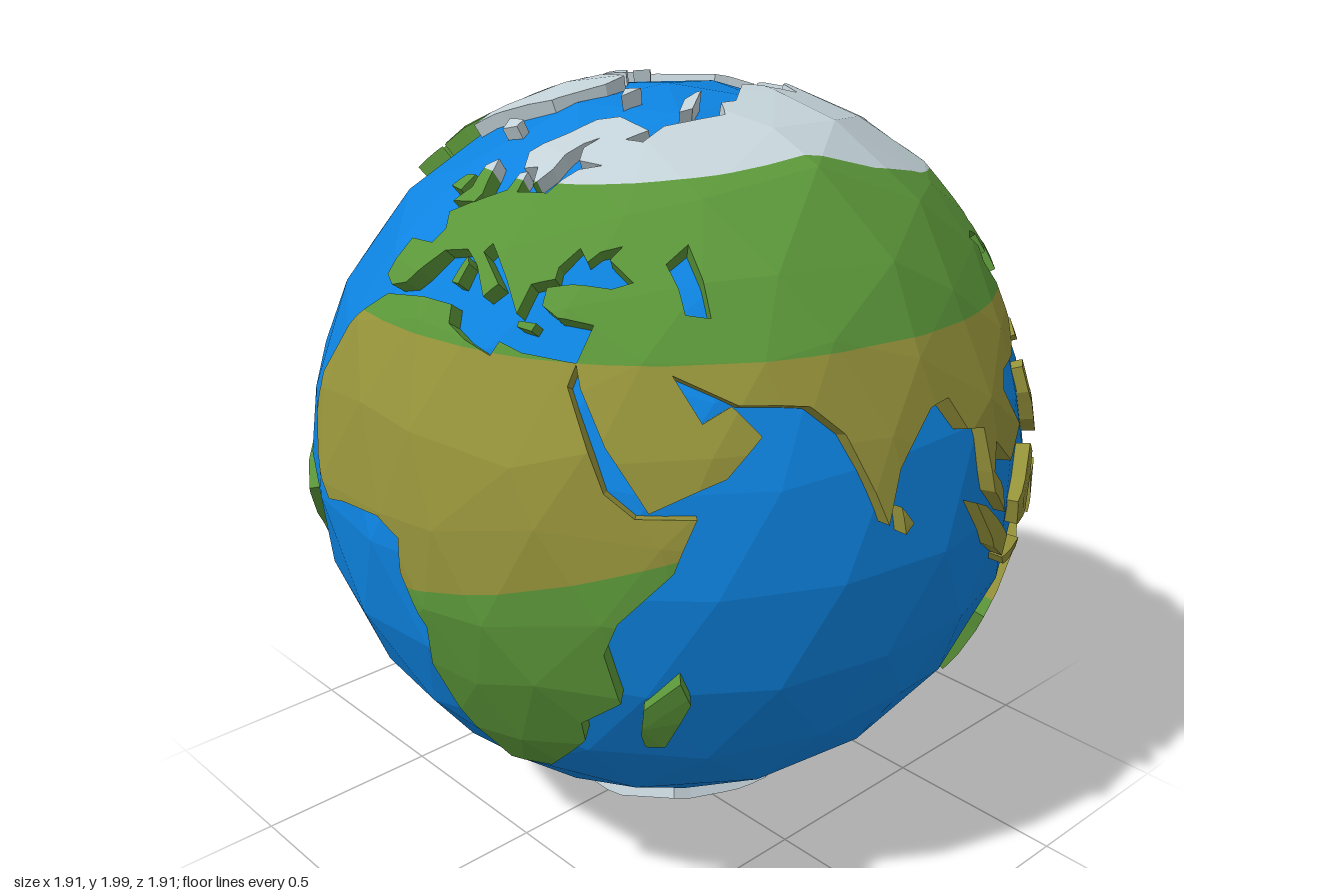
import * as THREE from 'three';

const SEA = 0.94, BED = 0.905, STEP = 0.23;
const paint = (name, color) => Object.assign(new THREE.MeshStandardMaterial({ color }), { name });
const dir = (lon, lat) => new THREE.Vector3().setFromSphericalCoords(
  1, THREE.MathUtils.degToRad(90 - lat), THREE.MathUtils.degToRad(lon));
const hash = (i, j) => { const s = Math.sin(i * 127.1 + j * 311.7) * 43758.5453; return s - Math.floor(s) - 0.5; };

// Piecewise linear lookup: [lon, lat, lon, lat, ...]
function along(t, lon) {
  for (let k = 2; k < t.length; k += 2)
    if (lon <= t[k]) return t[k - 1] + (t[k + 1] - t[k - 1]) * (lon - t[k - 2]) / (t[k] - t[k - 2]);
  return t[t.length - 1];
}

// Climate borders
const snowLine = [-180, 51, -130, 54, -86, 61, -55, 58, 10, 56, 45, 57, 80, 57, 100, 53, 130, 49, 150, 46, 180, 51];
const northTropic = [-180, 23, -40, 23, -20, 31, 70, 31, 180, 29];
const southTropic = [-180, -20, -100, -6, -80, -5, -35, 0, 10, -3, 25, 0, 50, 7, 75, -20, 180, -21];
const border = (table) => (p) => THREE.MathUtils.radToDeg(Math.asin(p.y / p.length()))
  - along(table, THREE.MathUtils.radToDeg(Math.atan2(p.x, p.z)));

// Land height: a plain with a few broad highlands [direction, extra height, spread in radians]
const highlands = [[dir(88, 54), 0.07, 0.36], [dir(0, -90), 0.08, 0.32], [dir(18, 8), 0.014, 0.5]];
const height = (v) => highlands.reduce((h, [d, a, s]) => h + a * Math.exp(-((v.angleTo(d) / s) ** 2)), 0.972);

// Split a convex 3D polygon where field f changes sign
function split(poly, f) {
  const above = [], below = [];
  poly.forEach((a, k) => {
    const b = poly[(k + 1) % poly.length], fa = f(a), fb = f(b);
    (fa >= 0 ? above : below).push(a);
    if ((fa >= 0) !== (fb >= 0)) {
      const m = a.clone().lerp(b, fa / (fa - fb));
      above.push(m); below.push(m);
    }
  });
  return [above, below];
}

const cross2 = (a, b, p) => (b.x - a.x) * (p.y - a.y) - (b.y - a.y) * (p.x - a.x);

// Clip a convex 2D polygon (or segment) to a triangle
function clip(poly, tri) {
  for (let e = 0; e < 3 && poly.length; e++) {
    const a = tri[e], b = tri[(e + 1) % 3], out = [];
    poly.forEach((p, k) => {
      const q = poly[(k + 1) % poly.length], dp = cross2(a, b, p), dq = cross2(a, b, q);
      if (dp >= 0) out.push(p);
      if ((dp >= 0) !== (dq >= 0)) out.push(p.clone().lerp(q, dp / (dp - dq)));
    });
    poly = out;
  }
  return poly;
}

// Raised land plate with faceted top and upright coast; outlines are flat lon, lat lists
function makeLand(name, mats, outlines) {
  const rings = outlines.map((o) => Array.from({ length: o.length / 2 }, (_, k) => dir(o[2 * k], o[2 * k + 1])));
  const c = new THREE.Vector3();
  rings.flat().forEach((v) => c.add(v));
  c.normalize();
  const e = new THREE.Vector3(Math.abs(c.y) > 0.9 ? 1 : 0, Math.abs(c.y) > 0.9 ? 0 : 1, 0).cross(c).normalize();
  const n = c.clone().cross(e);
  // Equal-area map around the land's centre, and back
  const flat = (v) => new THREE.Vector2(v.dot(e), v.dot(n)).multiplyScalar(Math.sqrt(2 / (1 + v.dot(c))));
  const lift = (p) => {
    const r2 = Math.min(p.lengthSq(), 3.9), s = Math.sqrt(1 - r2 / 4);
    return new THREE.Vector3().addScaledVector(e, s * p.x).addScaledVector(n, s * p.y)
      .addScaledVector(c, 1 - r2 / 2).normalize();
  };
  const maps = rings.map((r) => {
    const m = r.map(flat);
    return THREE.ShapeUtils.isClockWise(m) ? m.reverse() : m;
  });

  // Jittered triangle grid that gives the facets
  const box = new THREE.Box2().setFromPoints(maps.flat()).expandByScalar(STEP);
  const node = (i, j) => {
    const p = new THREE.Vector2(
      (i + (j & 1) * 0.5 + hash(i, j) * 0.4) * STEP, (j + hash(j + 9, i) * 0.4) * STEP * 0.866);
    const v = lift(p);
    return Object.assign(p, { top: v.multiplyScalar(height(v) + hash(i + 5, j + 3) * 0.012) });
  };
  const grid = [];
  for (let j = Math.floor(box.min.y / STEP / 0.866) - 1; j * STEP * 0.866 < box.max.y; j++)
    for (let i = Math.floor(box.min.x / STEP) - 1; i * STEP < box.max.x; i++) {
      const a = node(i, j), b = node(i + 1, j), d = node(i, j + 1), f = node(i + 1, j + 1);
      grid.push(...(j & 1 ? [[a, b, f], [a, f, d]] : [[a, b, d], [b, f, d]]));
    }
  const onTop = (p, t) => {
    const area = cross2(t[0], t[1], t[2]), v = new THREE.Vector3();
    t.forEach((q, k) => v.addScaledVector(q.top, cross2(t[(k + 1) % 3], t[(k + 2) % 3], p) / area));
    return v;
  };

  // Sort faces into climate colours
  const faces = { Snow: [], Grass: [], Savanna: [] };
  const add = (key, poly) => {
    for (let k = 2; k < poly.length; k++)
      for (const p of [poly[0], poly[k - 1], poly[k]]) faces[key].push(p.x, p.y, p.z);
  };
  const addFace = (poly) => {
    const [snow, rest] = split(poly, border(snowLine));
    const [north, warm] = split(rest, border(northTropic));
    const [savanna, south] = split(warm, border(southTropic));
    const [grass, ice] = split(south, border([-180, -60, 180, -60]));
    add('Snow', snow); add('Grass', north); add('Savanna', savanna); add('Grass', grass); add('Snow', ice);
  };

  for (const m of maps) {
    for (const ids of THREE.ShapeUtils.triangulateShape(m, [])) {
      const ear = ids.map((k) => m[k]);
      if (cross2(...ear) < 0) ear.reverse();
      for (const t of grid) {
        const piece = clip(ear, t);
        if (piece.length > 2) addFace(piece.map((p) => onTop(p, t)));
      }
    }
    // Coast walls
    m.forEach((a, k) => {
      const b = m[(k + 1) % m.length], d = b.clone().sub(a);
      for (const t of grid) {
        const s = clip([a, b], t).sort((p, q) => p.dot(d) - q.dot(d));
        if (s.length < 2 || s[0].distanceTo(s[s.length - 1]) < 1e-6) continue;
        const p = onTop(s[0], t), q = onTop(s[s.length - 1], t);
        addFace([p.clone().setLength(BED), q.clone().setLength(BED), q, p]);
      }
    });
  }

  const group = new THREE.Group();
  group.name = name;
  for (const key in faces) {
    if (!faces[key].length) continue;
    const g = new THREE.BufferGeometry();
    g.setAttribute('position', new THREE.Float32BufferAttribute(faces[key], 3));
    g.computeVertexNormals();
    const mesh = new THREE.Mesh(g, mats[key]);
    mesh.name = name + key;
    group.add(mesh);
  }
  return group;
}

export function createModel() {
  const model = new THREE.Group(), globe = new THREE.Group();
  model.name = 'lowPolyGlobe';
  globe.name = 'globe';
  globe.position.set(0, 1.055, -0.025);
  model.add(globe);
  const mats = { Snow: paint('snow', 0xc3d2d8), Grass: paint('grass', 0x5b9639), Savanna: paint('savanna', 0x95923a) };
  const land = (name, ...outlines) => globe.add(makeLand(name, mats, outlines));

  // Faceted sea with a vertex at each pole
  const seaShape = new THREE.IcosahedronGeometry(SEA, 3).rotateZ(Math.atan(2 / (1 + Math.sqrt(5))));
  seaShape.computeVertexNormals();
  const sea = new THREE.Mesh(seaShape, paint('ocean', 0x0d83e0));
  sea.name = 'ocean';
  globe.add(sea);

  // Continents
  const europe = [-9, 37, -9, 43, -2, 43.5, -1, 46, -4, 48.5, 2, 51, 8, 54, 8, 57, 10, 57.5, 11, 54, 19, 54.5, 21, 57,
    24, 59, 30, 60, 23, 60.5, 22, 63, 25, 65.5, 21, 64, 18, 61, 17, 58.5, 14, 55.5, 12, 58.5, 8, 58, 5, 61, 12, 66,
    18, 70, 27, 71, 41, 67, 34, 65, 40, 64, 46, 68, 60, 69, 58, 50, 51, 47, 47, 44.5, 49, 41, 41.5, 42, 37, 45, 39, 47,
    35, 46, 33, 44.5, 31, 46.5, 28, 43.5, 28, 41.8, 24, 40.7, 23, 36.5, 19, 41, 13, 45.5, 12, 44, 18, 40, 16, 38,
    12, 42, 8, 44, 3, 43, 0, 39, -2, 37, -6, 36];
  const asia = [60, 69, 68, 69, 72, 73, 80, 73, 90, 75.5, 104, 77.5, 113, 74, 130, 71, 140, 73, 160, 70, 180, 69, 190, 66,
    178, 62, 163, 58, 157, 51, 156, 57, 163, 62, 155, 59, 143, 59, 136, 55, 141, 52, 140, 48, 133, 43, 128, 40, 129, 36,
    126, 35, 126, 38, 122, 39.5, 118, 39, 122, 37, 119, 35, 122, 31, 120, 26, 114, 22, 108, 21.5, 106, 19, 109, 13,
    105, 9, 101, 13, 100, 9, 103, 5, 104, 1.5, 100, 6, 98, 16, 94, 17, 91, 22, 87, 21.5, 80, 15, 77.5, 8, 72, 21, 67, 25,
    57, 26, 48, 30, 52, 24, 56, 26, 60, 22, 55, 17, 45, 13, 39, 21, 35, 28, 34, 31, 36, 36, 30, 36.5, 27, 38,
    27, 40.5, 31, 41.2, 38, 41, 41.5, 42, 49, 41, 50, 37.5, 54, 37, 53, 42, 51, 47, 58, 50];
  land('eurasia', europe, asia);
  land('africa', [-16, 14, -17, 20, -13, 28, -10, 31, -6, 34.5, 3, 36, 10, 36, 11, 33.5, 15, 32, 20, 30.5, 21, 32.5, 25, 31.5,
    34, 31, 33, 28, 37, 20, 39, 15, 43, 12, 51, 12, 48, 5, 41, -2, 39, -7, 41, -15, 35, -20, 35, -24, 32, -28, 27, -34,
    19, -34.5, 17, -29, 14, -22, 12, -15, 13, -8, 9, -1, 9, 4, 5, 6, -4, 5, -8, 4, -13, 9]);
  land('northAmerica', [-168, 66, -156, 71, -130, 70, -115, 68, -95, 69, -85, 69, -87, 64, -94, 61, -93, 57.5, -82, 55,
    -79, 51.5, -78, 58, -77, 62, -70, 61, -66, 58.5, -64, 60, -56, 52, -66, 50, -60, 47, -66, 44, -70, 43, -74, 40,
    -76, 35, -81, 31, -80, 25.5, -83, 29.5, -90, 29.5, -97, 27, -97, 21, -94, 18, -91, 19, -87, 21, -88, 16, -83, 15,
    -83, 10, -77, 8, -80, 7.5, -85, 10, -88, 13, -95, 16, -105, 20, -109, 25, -112.5, 30, -114.5, 31, -110, 23.5,
    -115, 28, -118, 34, -124, 40, -124, 47, -130, 54, -138, 59, -146, 60.5, -153, 58, -164, 54.5, -158, 58.5, -165, 61, -161, 64]);
  land('southAmerica', [-77, 8, -72, 12, -62, 10.5, -51, 4, -50, 0, -44, -2.5, -35, -6, -39, -14, -41, -22, -48, -26,
    -53, -33, -62, -39, -65, -42, -68, -50, -66, -55, -72, -53, -75, -48, -73, -38, -70, -18, -76, -14, -81, -5, -80, 1]);
  land('australia', [114, -22, 122, -18, 130, -12, 136, -12, 136, -16, 140, -17, 142, -11, 146, -19, 153, -26, 150, -37,
    146, -39, 140, -37, 137, -33, 131, -31.5, 124, -33, 116, -35]);
  land('antarctica', [-180, -78, -150, -76, -100, -73, -75, -72, -67, -67, -57, -63, -62, -72, -60, -77, -35, -78, -10, -71,
    20, -69, 50, -66, 90, -66, 130, -66, 160, -70, 170, -78]);

  // Arctic islands
  land('greenland', [-73, 78, -60, 82, -32, 83.5, -18, 80, -22, 72, -40, 65, -44, 60, -52, 65, -54, 70, -60, 76]);
  land('baffinIsland', [-88, 73, -78, 73, -64, 66, -66, 62, -74, 65, -74, 69]);
  land('ellesmereIsland', [-88, 77, -90, 81, -70, 83, -78, 78]);
  land('victoriaIsland', [-117, 70, -115, 73, -105, 73, -102, 69]);
  land('banksIsland', [-124, 72, -122, 75, -110, 76, -115, 74]);
  land('iceland', [-24, 65.5, -16, 66.5, -14, 65, -19, 63.5]);
  land('svalbard', [12, 79.5, 25, 80, 17, 77]);
  land('novayaZemlya', [52, 71.5, 56, 75, 68, 77, 58, 72]);

  // Temperate islands
  land('greatBritain', [-5, 50, -3, 53, -6, 57, -4, 58.7, -2, 57, 1.5, 52.5, 1, 51]);
  land('ireland', [-10, 52, -9, 54.5, -6, 55, -6, 52]);
  land('sardinia', [8, 39, 8.5, 43, 9.7, 42, 9.5, 39]);
  land('crete', [23.5, 35.6, 26.5, 35.6, 26, 34.5, 23.5, 34.8]);
  land('japan', [130, 31, 131, 34.5, 136, 36, 140, 41, 142, 39, 140, 35, 135, 33.5]);
  land('hokkaido', [140, 42, 142, 45.5, 145.5, 43.5, 143, 42]);
  land('sakhalin', [142, 46, 142, 54, 144, 50, 143.5, 46]);
  land('newfoundland', [-59, 48, -56, 51.5, -53, 47]);
  land('tasmania', [144.5, -40.5, 148.5, -40.5, 147, -43.8]);
  land('newZealandNorth', [173, -35, 178.5, -38, 175, -41.5, 174, -39]);
  land('newZealandSouth', [172.5, -40.5, 174, -42, 169, -47, 166.5, -46]);
  land('madagascar', [44, -17, 49, -12, 50.5, -16, 47, -25, 44, -25, 43.5, -22]);

  // Tropical islands
  land('sumatra', [95, 6, 98, 4.5, 106, -3, 105, -6, 101, -3]);
  land('borneo', [109, 1, 113, 3, 117, 7, 119, 5, 116, -3.5, 110, -3]);
  land('java', [105, -6.3, 114.5, -7.3, 114.5, -9, 106, -7.8]);
  land('sulawesi', [119, -5, 119, 1, 125, 1.5, 121, -0.5, 122.5, -5, 120.5, -3]);
  land('philippines', [120, 18, 122, 18.5, 122, 14, 126, 9, 125, 6, 122, 9, 120, 14]);
  land('newGuinea', [131, -1, 138, -2, 147, -6, 150, -10.5, 144, -8, 138, -8.5, 133, -4]);
  land('newBritain', [148.5, -5.5, 152, -4, 153, -5, 149.5, -6.7]);
  land('solomonIslands', [155, -6, 161, -10, 160, -11.5, 154.5, -7.5]);
  land('newCaledonia', [164, -19.5, 167.5, -22, 166.5, -23.5, 163.5, -21]);
  land('fiji', [176.5, -16.5, 180, -16, 179.5, -18.7, 177, -18.7]);
  land('sriLanka', [80, 9.7, 82, 7, 80.5, 5.8]);
  land('taiwan', [120, 23, 121.7, 25.3, 121, 22]);
  land('cuba', [-85, 22, -82, 23.3, -74.5, 20.5, -77.5, 19.7]);
  land('hispaniola', [-74, 20, -68.5, 18.7, -74, 18]);
  return model;
}
